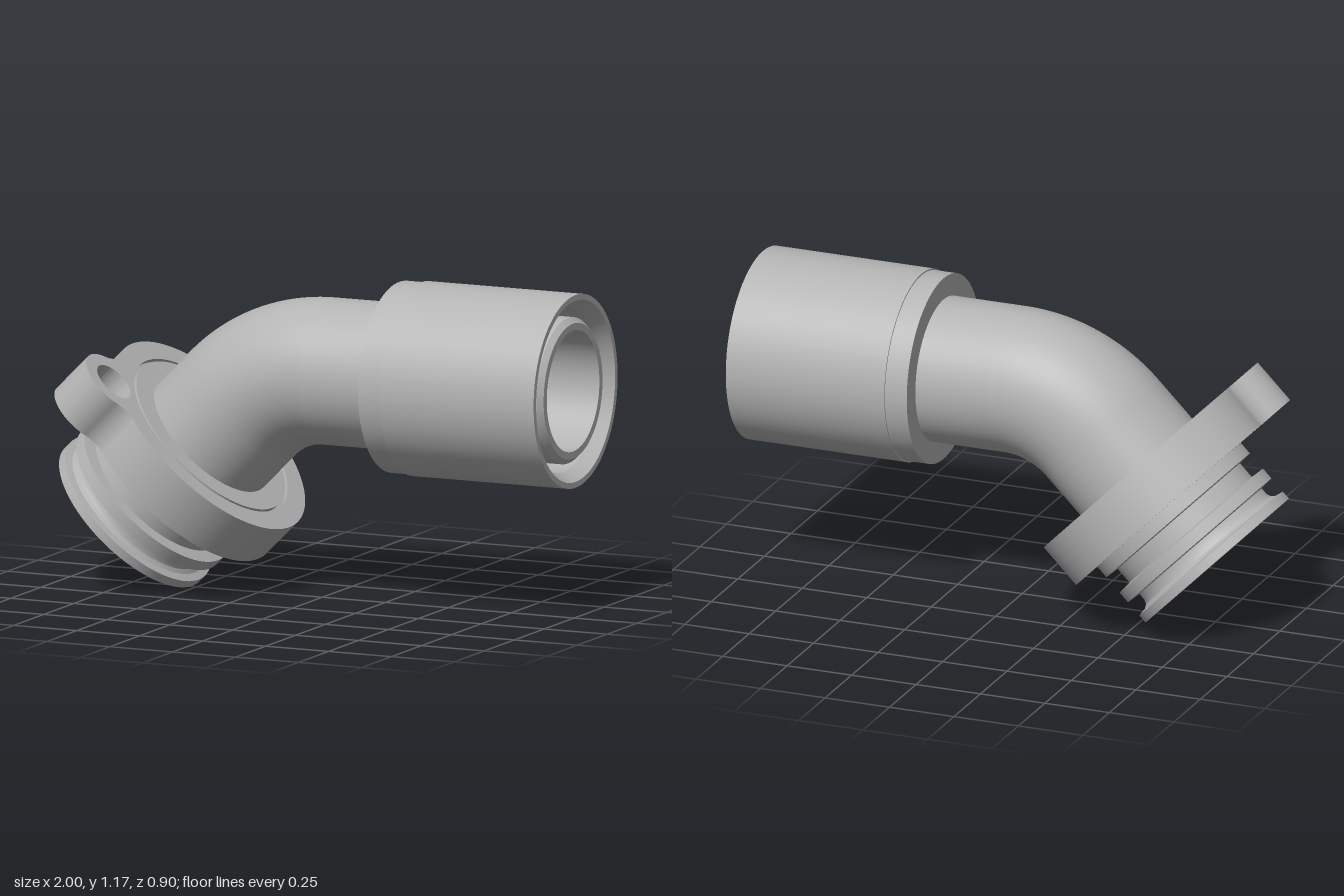
import * as THREE from 'three';
import { toCreasedNormals } from 'three/addons/utils/BufferGeometryUtils.js';

const SEG = 96;
const PIPE = 0.265;   // pipe outer radius
const BORE = 0.22;    // pipe inner radius
const BEND = 0.48;    // centreline radius of the elbow
const START_X = 0.02; // where the elbow begins
const AXIS_Y = 0.826; // height of the horizontal axis

const grey = new THREE.MeshStandardMaterial({ color: 0xb4b4b4 });
grey.name = 'grey';

function part(name, geometry) {
  const mesh = new THREE.Mesh(toCreasedNormals(geometry, 0.45), grey);
  mesh.name = name;
  return mesh;
}

// Profile points are [radius, distance along axis]: up the outside, down the inside
function lathe(points) {
  return new THREE.LatheGeometry(points.map(([r, h]) => new THREE.Vector2(r, h)), SEG);
}

// Double-walled straight tube, curved through 45 degrees
function elbowGeometry() {
  const steps = 24, length = BEND * Math.PI / 4, outer = [], inner = [];
  for (let i = 0; i <= steps; i++) {
    outer.push([PIPE, length * i / steps]);
    inner.unshift([BORE, length * i / steps]);
  }
  const geometry = lathe([...outer, ...inner]);
  const p = geometry.attributes.position;
  for (let i = 0; i < p.count; i++) {
    const angle = p.getY(i) / BEND, r = BEND + p.getX(i);
    p.setXY(i, START_X - r * Math.sin(angle), AXIS_Y - BEND + r * Math.cos(angle));
  }
  return geometry;
}

// Round flange with a filleted bolt ear at 45 degrees
function flangeGeometry() {
  const R = 0.44, ear = 0.13, fillet = 0.1, d = 0.46, turn = Math.PI / 4;
  const a = R + fillet, b = ear + fillet;
  const u = (a * a + d * d - b * b) / (2 * d), v = Math.sqrt(a * a - u * u);
  const A = Math.atan2(v, u), E = Math.atan2(v, u - d);
  const shape = new THREE.Shape();
  const arc = (path, x, y, r, from, to, clockwise) => path.absarc(
    x * Math.cos(turn) - y * Math.sin(turn), x * Math.sin(turn) + y * Math.cos(turn),
    r, from + turn, to + turn, clockwise);
  arc(shape, 0, 0, R, A, 2 * Math.PI - A, false);
  arc(shape, u, -v, fillet, Math.PI - A, Math.PI - E, true);
  arc(shape, d, 0, ear, -E, E, false);
  arc(shape, u, v, fillet, E - Math.PI, A - Math.PI, true);
  for (const [x, r] of [[0, 0.358], [d, 0.078]]) {
    const hole = new THREE.Path();
    arc(hole, x, 0, r, 0, 2 * Math.PI, true);
    shape.holes.push(hole);
  }
  const geometry = new THREE.ExtrudeGeometry(shape, { depth: 0.178, bevelEnabled: false, curveSegments: 64 });
  return geometry.rotateX(Math.PI / 2).translate(0, 0.361, 0);
}

export function createModel() {
  const model = new THREE.Group();
  model.name = 'pipeElbow';

  // Horizontal pipe with collar and outer sleeve
  const socket = part('sleevedPipe', lathe([
    [PIPE, START_X], [PIPE, 0.3], [0.346, 0.3], [0.346, 0.385], [0.351, 0.385], [0.351, 1],
    [0.33, 1], [0.298, 0.95], [0.298, 0.5], [PIPE, 0.5], [PIPE, 0.97], [0.246, 0.99],
    [BORE, 0.99], [BORE, START_X],
  ]));
  socket.rotation.z = -Math.PI / 2;
  socket.position.y = AXIS_Y;

  const elbow = part('elbow', elbowGeometry());

  // Sloping end: ribbed spigot and flange, local y running down the pipe
  const sloped = new THREE.Group();
  sloped.name = 'slopedEnd';
  const k = BEND * Math.SQRT1_2;
  sloped.position.set(START_X - k, AXIS_Y - BEND + k, 0);
  sloped.rotation.z = Math.PI * 0.75;
  sloped.add(
    part('ribbedSpigot', lathe([
      [PIPE, 0], [PIPE, 0.183], [0.347, 0.183], [0.347, 0.2], [0.358, 0.2], [0.358, 0.361],
      [0.34, 0.361], [0.34, 0.411], [0.29, 0.415], [0.29, 0.48], [0.34, 0.484], [0.34, 0.53],
      [0.29, 0.534], [0.29, 0.562], [0.296, 0.577], [0.31, 0.587], [0.34, 0.592], [0.34, 0.626],
      [0.3, 0.626], [0.27, 0.59], [0.27, 0.25], [BORE, 0.19], [BORE, 0],
    ])),
    part('flange', flangeGeometry()),
  );

  model.add(socket, elbow, sloped);
  model.position.z = -0.0125;
  const root = new THREE.Group();
  root.name = 'pipeFitting';
  root.add(model);
  return root;
}
